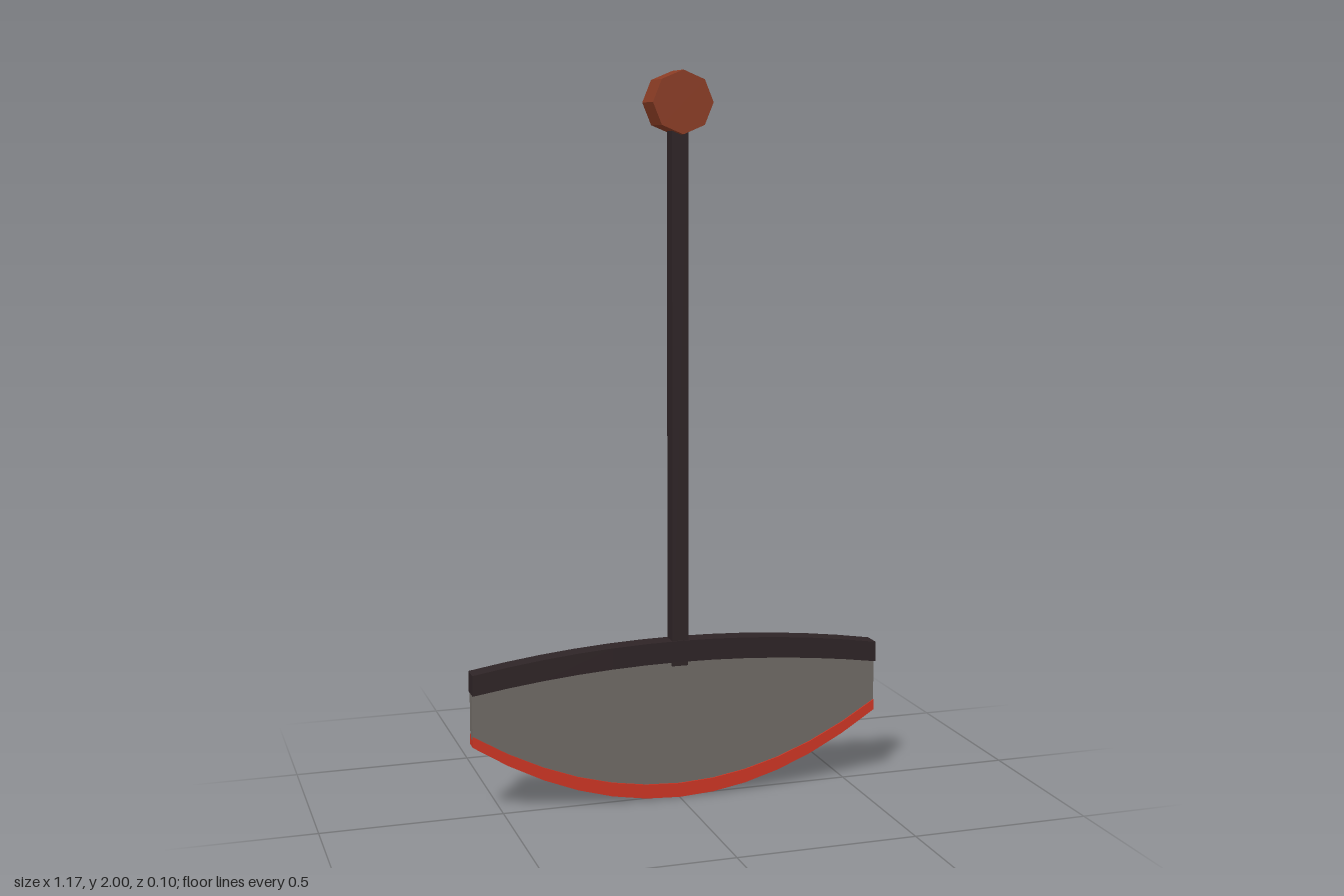
import * as THREE from 'three';

const HALF = 0.585; // half width of the blade
const STEPS = 12;

const material = (name, color) => {
  const m = new THREE.MeshStandardMaterial({ color });
  m.name = name;
  return m;
};

// Parabola through a middle height and an end height
const arc = (mid, end) => (x) => mid + (end - mid) * (x / HALF) ** 2;

// Flat plate between two curves, centred on z = 0
function band(lower, upper, depth) {
  const points = [];
  for (let i = 0; i <= STEPS; i++) {
    const x = -HALF + (2 * HALF * i) / STEPS;
    points.push(new THREE.Vector2(x, lower(x)));
  }
  for (let i = STEPS; i >= 0; i--) {
    const x = -HALF + (2 * HALF * i) / STEPS;
    points.push(new THREE.Vector2(x, upper(x)));
  }
  const geometry = new THREE.ExtrudeGeometry(new THREE.Shape(points), { depth, bevelEnabled: false });
  return geometry.translate(0, 0, -depth / 2);
}

export function createModel() {
  const group = new THREE.Group();
  group.name = 'pendulumBlade';

  const rust = material('rust brown', 0x8a3c24);
  const iron = material('dark iron', 0x2e2426);
  const steel = material('grey steel', 0x6f6a65);
  const red = material('blood red', 0xcc3524);

  const add = (name, geometry, mat) => {
    const mesh = new THREE.Mesh(geometry, mat);
    mesh.name = name;
    group.add(mesh);
    return mesh;
  };

  // Octagonal pivot with its axis along z and a corner on top
  const pivot = new THREE.CylinderGeometry(0.084, 0.084, 0.098, 8).toNonIndexed();
  pivot.rotateX(Math.PI / 2);
  pivot.computeVertexNormals();
  add('pivot', pivot, rust).position.y = 1.916;

  // Square hanging rod
  add('rod', new THREE.BoxGeometry(0.046, 1.536, 0.046), iron).position.y = 1.148;

  // Curved spine, blade body and cutting edge
  add('spine', band(arc(0.392, 0.345), arc(0.452, 0.402), 0.054), iron);
  add('blade', band(arc(0.038, 0.22), arc(0.4, 0.353), 0.028), steel);
  add('cuttingEdge', band(arc(0, 0.2), arc(0.04, 0.23), 0.036), red);

  return group;
}
